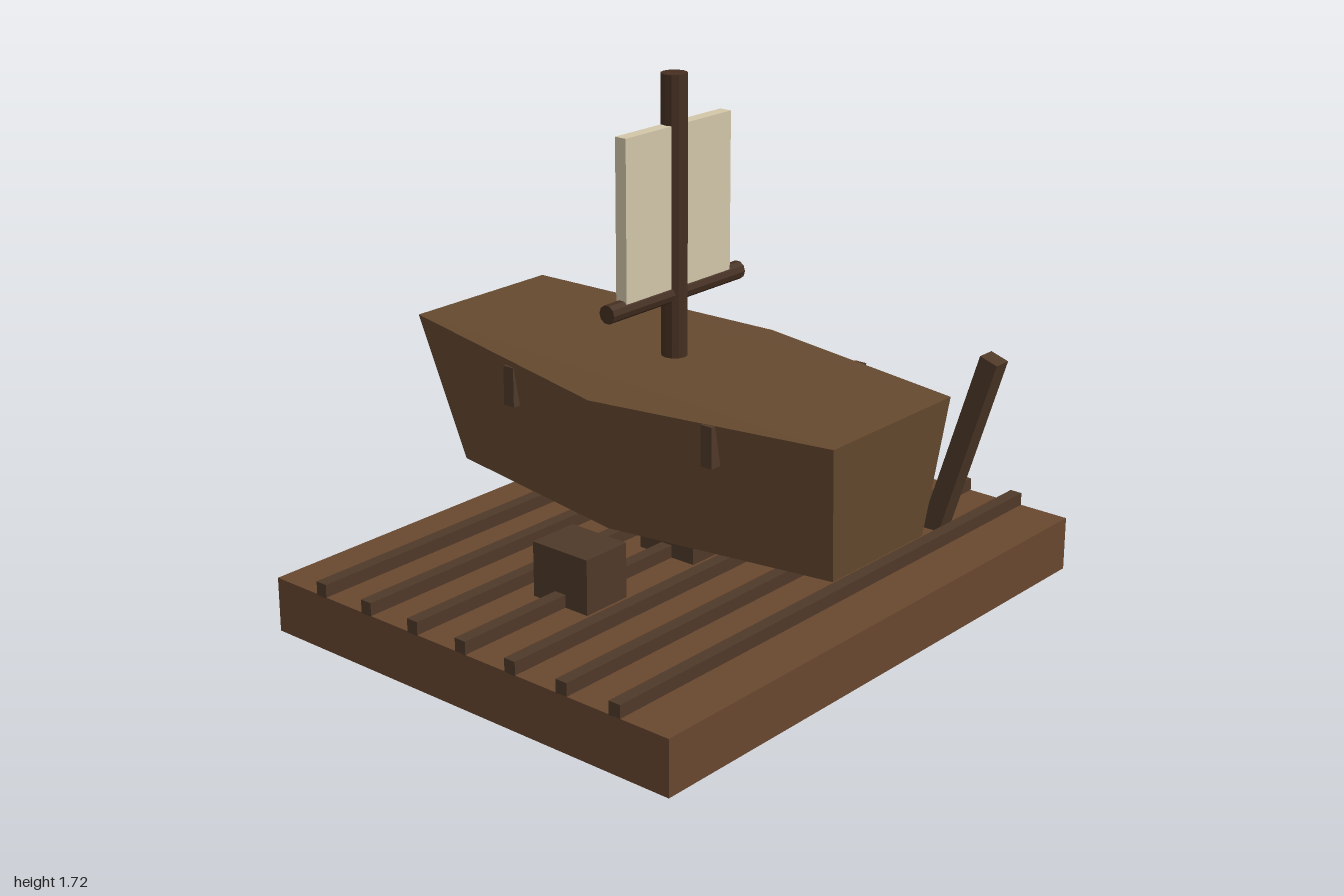
import * as THREE from 'three';

const mat = (color) => new THREE.MeshStandardMaterial({ color, flatShading: true });
const baseWood = mat(0x68472f);
const hullWood = mat(0x65492f);
const trimWood = mat(0x4f3929);
const mastWood = mat(0x452f21);
const cloth = mat(0xd2c6a9);

function add(parent, name, geometry, material, x, y, z) {
  const mesh = new THREE.Mesh(geometry, material);
  mesh.name = name;
  mesh.position.set(x, y, z);
  parent.add(mesh);
  return mesh;
}

// Six-sided hull: a top and a bottom ring joined by side panels
function hullGeometry() {
  // half width, y, z at the front, middle and back
  const top = [[0.29, 0.8, 0.84], [0.44, 0.8, 0.04], [0.29, 0.845, -0.845]];
  const bottom = [[0.225, 0.36, 0.8], [0.355, 0.36, 0.04], [0.225, 0.36, -0.71]];
  const ring = (half) => [...half, ...half.slice().reverse().map(([x, y, z]) => [-x, y, z])];
  const points = [...ring(top), ...ring(bottom)];
  const index = [];
  for (let i = 0; i < 6; i++) {
    const j = (i + 1) % 6;
    index.push(i + 6, j + 6, j, i + 6, j, i);
  }
  const cap = [[0, 1, 2], [0, 2, 3], [0, 3, 5], [3, 4, 5]];
  for (const [a, b, c] of cap) index.push(a, b, c, a + 6, c + 6, b + 6);
  const geometry = new THREE.BufferGeometry();
  geometry.setAttribute('position', new THREE.Float32BufferAttribute(points.flat(), 3));
  geometry.setIndex(index);
  const flat = geometry.toNonIndexed();
  flat.computeVertexNormals();
  return flat;
}

export function createModel() {
  const model = new THREE.Group();
  model.name = 'shipOnDock';

  // Dock platform with raised slats
  const dock = new THREE.Group();
  dock.name = 'dock';
  model.add(dock);
  add(dock, 'platform', new THREE.BoxGeometry(2, 0.18, 1.6), baseWood, 0, 0.09, 0.04);
  for (let i = 0; i < 7; i++) {
    add(dock, 'slat', new THREE.BoxGeometry(2, 0.045, 0.042), trimWood, 0, 0.1995, 0.644 - 0.2 * i);
  }

  // Support blocks
  for (const x of [-0.49, 0, 0.49]) {
    add(dock, 'supportBlock', new THREE.BoxGeometry(0.176, 0.18, 0.22), trimWood, x, 0.27, 0.044);
  }

  // Leaning plank
  const plank = add(dock, 'leaningPlank', new THREE.BoxGeometry(0.064, 0.7, 0.066), trimWood, 0.664, 0.468, 0.643);
  plank.rotation.x = 0.305;

  // Hull with side cleats
  const ship = new THREE.Group();
  ship.name = 'ship';
  model.add(ship);
  add(ship, 'hull', hullGeometry(), hullWood, 0, 0, 0);
  for (const side of [-1, 1]) {
    for (const z of [0.444, -0.356]) {
      add(ship, 'sideCleat', new THREE.BoxGeometry(0.042, 0.13, 0.042), trimWood, side * 0.355, 0.734, z);
    }
  }

  // Mast, yard and sail
  add(ship, 'mast', new THREE.CylinderGeometry(0.042, 0.042, 0.935, 12), mastWood, 0, 1.2475, 0);
  const yard = add(ship, 'yard', new THREE.CylinderGeometry(0.03, 0.03, 0.62, 10), mastWood, 0, 1.027, 0);
  yard.rotation.z = Math.PI / 2;
  add(ship, 'sail', new THREE.BoxGeometry(0.488, 0.52, 0.042), cloth, 0, 1.299, 0);

  return model;
}
